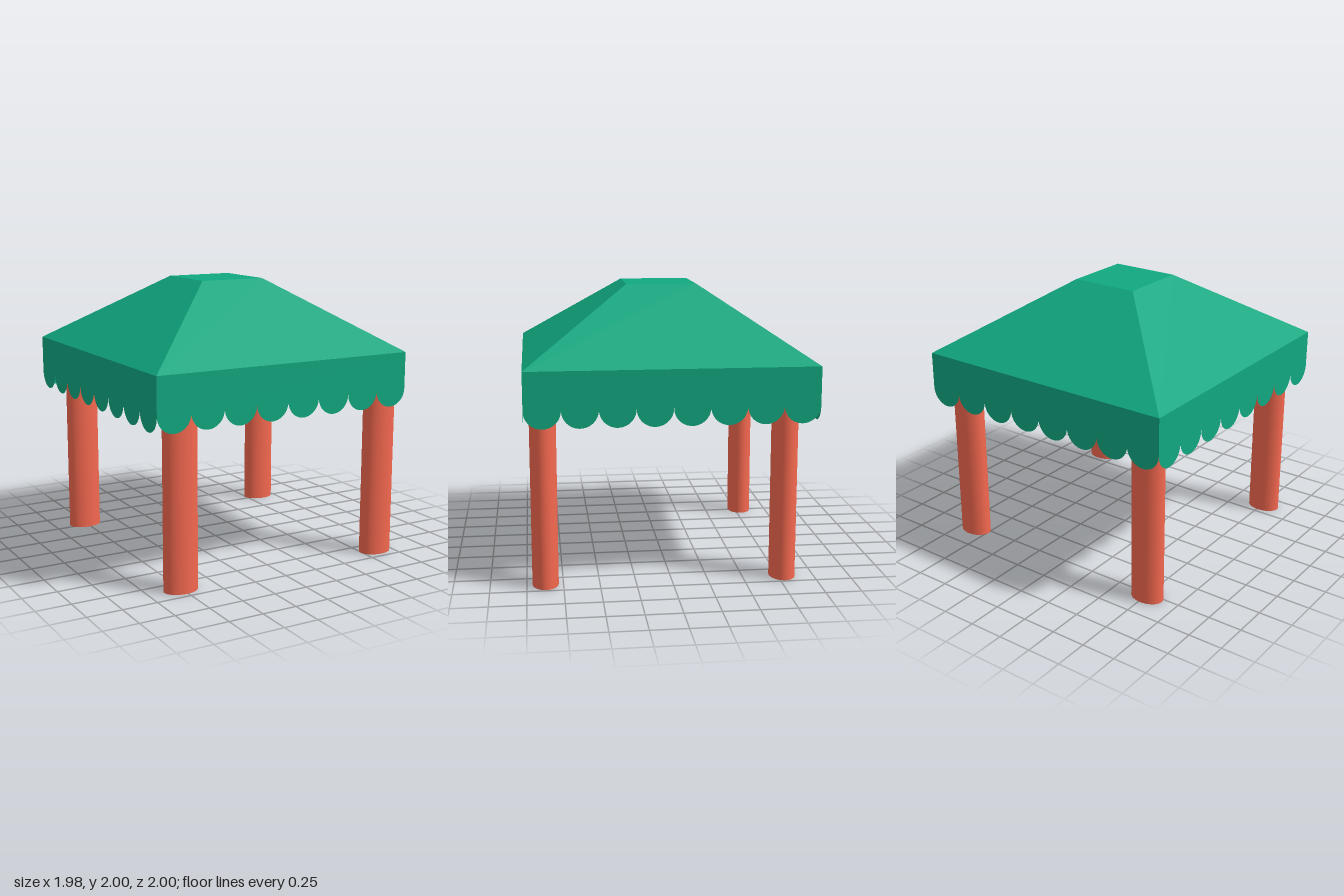
import * as THREE from 'three';

const HALF_X = 0.99, HALF_Z = 1;      // canopy half sizes
const EAVE = 1.5, SOFFIT = 1.25, TOP = 2;

// Row of hanging half-round scallops along local x, facing +z
function scallopRow(halfWidth, count) {
  const step = (2 * halfWidth) / count, r = step / 2;
  const shape = new THREE.Shape();
  shape.moveTo(-halfWidth, SOFFIT);
  for (let i = 0; i < count; i++) {
    const cx = -halfWidth + (i + 0.5) * step;
    shape.lineTo(cx - r, SOFFIT - 0.011);
    shape.absarc(cx, SOFFIT - 0.011, r, Math.PI, 2 * Math.PI, false);
    shape.lineTo(cx + r, SOFFIT);
  }
  return new THREE.ShapeGeometry(shape, 24);
}

export function createModel() {
  const model = new THREE.Group();
  model.name = 'pavilion';
  const green = new THREE.MeshStandardMaterial({ color: 0x10a880, flatShading: true });
  const cloth = new THREE.MeshStandardMaterial({ color: 0x10a880, side: THREE.DoubleSide });
  const red = new THREE.MeshStandardMaterial({ color: 0xf4684f });

  const add = (name, geometry, material, x = 0, y = 0, z = 0) => {
    const mesh = new THREE.Mesh(geometry, material);
    mesh.name = name;
    mesh.position.set(x, y, z);
    model.add(mesh);
    return mesh;
  };

  // Hipped roof with a flat square top
  const roof = new THREE.CylinderGeometry(0.25 * Math.SQRT2, Math.SQRT2, TOP - EAVE, 4, 1);
  roof.rotateY(Math.PI / 4).scale(HALF_X, 1, HALF_Z);
  add('roof', roof, green, 0, (TOP + EAVE) / 2, 0);

  // Straight band under the eaves, closed below
  add('canopyBand', new THREE.BoxGeometry(2 * HALF_X, EAVE - SOFFIT, 2 * HALF_Z), green,
    0, (EAVE + SOFFIT) / 2, 0);

  // Scalloped trim on all four sides
  ['front', 'left', 'back', 'right'].forEach((side, i) => {
    const along = i % 2 ? HALF_Z : HALF_X;
    const out = i % 2 ? HALF_X : HALF_Z;
    const geometry = scallopRow(along, 8).translate(0, 0, out).rotateY(i * Math.PI / 2);
    add(side + 'Scallops', geometry, cloth);
  });

  // Four oval posts, set slightly off centre
  const post = new THREE.CylinderGeometry(1, 1, SOFFIT, 48).scale(0.123, 1, 0.09);
  for (const [side, x] of [['Right', -0.762], ['Left', 0.864]])
    for (const [end, z] of [['front', 0.872], ['back', -0.782]])
      add(end + side + 'Post', post, red, x, SOFFIT / 2, z);

  return model;
}
